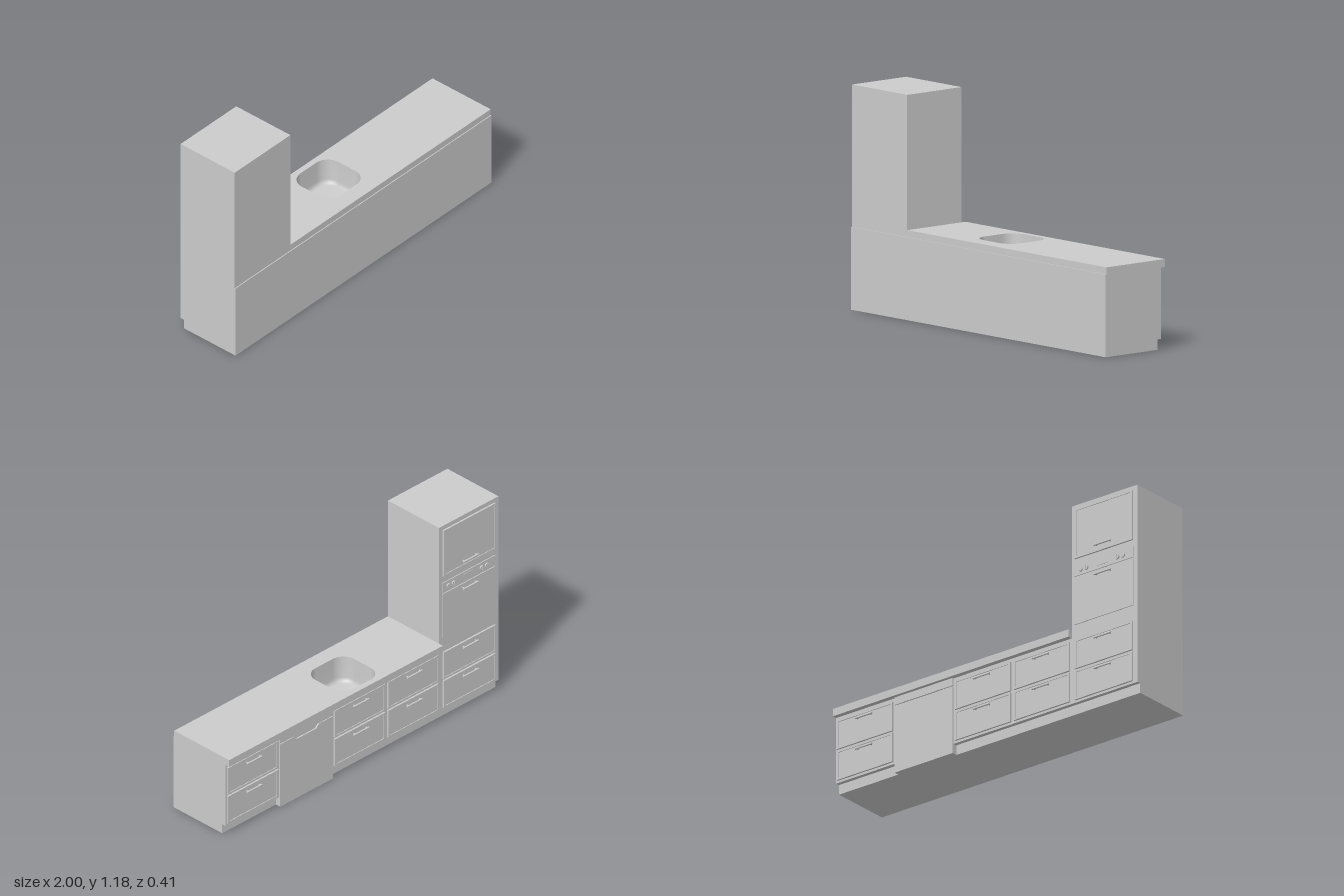
import * as THREE from 'three';

const material = new THREE.MeshStandardMaterial({ color: 0xcccccc });
const openMaterial = new THREE.MeshStandardMaterial({ color: 0xcccccc, side: THREE.DoubleSide });

const FRONT = -0.175; // carcass front plane; the doors face -z
const TOWER_X = -0.565;
const SINK = { x: -0.007, z: -0.03, w: 0.285, d: 0.28, r: 0.08 };

function add(parent, name, geometry, mat = material) {
  const mesh = new THREE.Mesh(geometry, mat);
  mesh.name = name;
  parent.add(mesh);
  return mesh;
}

// Box given by its limits on each axis
function slab(parent, name, x0, x1, y0, y1, z0, z1) {
  const mesh = add(parent, name, new THREE.BoxGeometry(x1 - x0, y1 - y0, z1 - z0));
  mesh.position.set((x0 + x1) / 2, (y0 + y1) / 2, (z0 + z1) / 2);
  return mesh;
}

function rectShape(x0, x1, y0, y1) {
  return new THREE.Shape([[x0, y0], [x1, y0], [x1, y1], [x0, y1]].map(p => new THREE.Vector2(...p)));
}

// Rounded outline of the sink in plan (shape y becomes world z)
function sinkOutline() {
  const { x, z, w, d, r } = SINK;
  const path = new THREE.Path();
  const corners = [[1, 1, 0], [-1, 1, 0.5], [-1, -1, 1], [1, -1, 1.5]];
  for (const [sx, sz, a] of corners)
    path.absarc(x + sx * (w / 2 - r), z + sz * (d / 2 - r), r, a * Math.PI, (a + 0.5) * Math.PI, false);
  path.closePath();
  return path;
}

// Horizontal plate with the sink cut out
function sinkPlate(parent, name, x0, x1, z0, z1, y0, y1) {
  const shape = rectShape(x0, x1, z0, z1);
  shape.holes.push(sinkOutline());
  const geo = new THREE.ExtrudeGeometry(shape, { depth: y1 - y0, bevelEnabled: false, curveSegments: 10 });
  geo.rotateX(Math.PI / 2);
  add(parent, name, geo).position.y = y1;
}

// Basin lofted from shrinking copies of the outline
function basin(parent) {
  const pts = sinkOutline().getPoints(10);
  const rings = [[0.469, 0.995], [0.35, 0.97], [0.33, 0.93], [0.322, 0.85], [0.32, 0.02]];
  const pos = [], index = [], n = pts.length;
  for (const [y, s] of rings)
    for (const p of pts) pos.push(SINK.x + (p.x - SINK.x) * s, y, SINK.z + (p.y - SINK.z) * s);
  for (let k = 0; k < rings.length - 1; k++)
    for (let i = 0; i < n; i++) {
      const a = k * n + i, b = k * n + (i + 1) % n;
      index.push(a, b, a + n, b, b + n, a + n);
    }
  const geo = new THREE.BufferGeometry();
  geo.setAttribute('position', new THREE.Float32BufferAttribute(pos, 3));
  geo.setIndex(index);
  geo.computeVertexNormals();
  add(parent, 'sinkBasin', geo, openMaterial);
}

// Bar handle on two posts
function handle(parent, x, y, z) {
  const group = new THREE.Group();
  group.name = 'handle';
  const bar = add(group, 'handleBar', new THREE.CylinderGeometry(0.005, 0.005, 0.11, 12));
  bar.rotation.z = Math.PI / 2;
  bar.position.set(x, y, -0.193);
  for (const s of [-1, 1]) {
    const post = add(group, 'handlePost', new THREE.CylinderGeometry(0.004, 0.004, z + 0.193, 10));
    post.rotation.x = Math.PI / 2;
    post.position.set(x + s * 0.045, y, (z - 0.193) / 2);
  }
  parent.add(group);
}

// Door or drawer front: thin raised frame round an inset panel
function framedFront(parent, name, x0, x1, y0, y1, handleY) {
  const group = new THREE.Group();
  group.name = name;
  const t = 0.011;
  const shape = rectShape(x0, x1, y0, y1);
  shape.holes.push(rectShape(x0 + t, x1 - t, y0 + t, y1 - t));
  add(group, 'frame', new THREE.ExtrudeGeometry(shape, { depth: 0.011, bevelEnabled: false })).position.z = -0.185;
  slab(group, 'panel', x0 + t, x1 - t, y0 + t, y1 - t, -0.181, FRONT + 0.001);
  handle(group, (x0 + x1) / 2, handleY, -0.18);
  parent.add(group);
}

function drawers(parent, x0, x1) {
  framedFront(parent, 'lowerDrawer', x0, x1, 0.068, 0.235, 0.206);
  framedFront(parent, 'upperDrawer', x0, x1, 0.245, 0.41, 0.381);
}

function dishwasher(parent, x0, x1) {
  const group = new THREE.Group();
  group.name = 'dishwasher';
  const c = (x0 + x1) / 2;
  // Door with a tapered finger notch in its top edge
  const outline = [[x0, 0], [x1, 0], [x1, 0.383], [c + 0.09, 0.383], [c + 0.07, 0.362],
    [c - 0.07, 0.362], [c - 0.09, 0.383], [x0, 0.383]].map(p => new THREE.Vector2(...p));
  const door = new THREE.ExtrudeGeometry(new THREE.Shape(outline), { depth: 0.033, bevelEnabled: false });
  add(group, 'dishwasherDoor', door).position.z = -0.183;
  slab(group, 'dishwasherStrip', x0, x1, 0.387, 0.43, -0.183, FRONT + 0.001);
  parent.add(group);
}

function oven(parent, x0, x1) {
  const group = new THREE.Group();
  group.name = 'oven';
  slab(group, 'ovenDoor', x0, x1, 0.5, 0.768, -0.18, FRONT + 0.001);
  handle(group, (x0 + x1) / 2, 0.743, -0.179);
  slab(group, 'controlPanel', x0, x1, 0.775, 0.835, -0.18, FRONT + 0.001);
  slab(group, 'display', -0.81, -0.73, 0.793, 0.822, -0.182, -0.179);
  for (const x of [-0.627, -0.665, -0.871, -0.909]) {
    const base = add(group, 'knob', new THREE.CylinderGeometry(0.014, 0.015, 0.008, 20));
    base.rotation.x = Math.PI / 2;
    base.position.set(x, 0.805, -0.184);
    slab(group, 'knobGrip', x - 0.003, x + 0.003, 0.793, 0.817, -0.19, -0.186);
  }
  parent.add(group);
}

export function createModel() {
  const model = new THREE.Group();
  model.name = 'kitchenUnit';

  // Carcass: recessed plinth, lower body and upper body open round the sink
  slab(model, 'plinth', -1, 1, 0, 0.055, -0.152, 0.205);
  slab(model, 'lowerCarcass', -1, 1, 0.055, 0.315, FRONT, 0.205);
  sinkPlate(model, 'upperCarcass', -1, 1, FRONT, 0.205, 0.315, 0.435);

  // Worktop and basin
  sinkPlate(model, 'worktop', TOWER_X, 1, -0.203, 0.2, 0.43, 0.472);
  basin(model);

  // Tall cabinet
  slab(model, 'tower', -1, TOWER_X, 0.435, 1.183, FRONT, 0.2);

  // Base fronts, from the free end towards the tower
  const w = (1 - TOWER_X) / 4;
  for (let i = 0; i < 4; i++) {
    const x1 = 1 - i * w, x0 = x1 - w;
    if (i === 1) dishwasher(model, x0 + 0.003, x1 - 0.003);
    else drawers(model, x0 + 0.011, x1 - 0.011);
  }

  // Tower fronts
  drawers(model, -0.971, -0.59);
  oven(model, -0.974, -0.586);
  framedFront(model, 'upperDoor', -0.971, -0.59, 0.875, 1.158, 0.91);

  return model;
}
